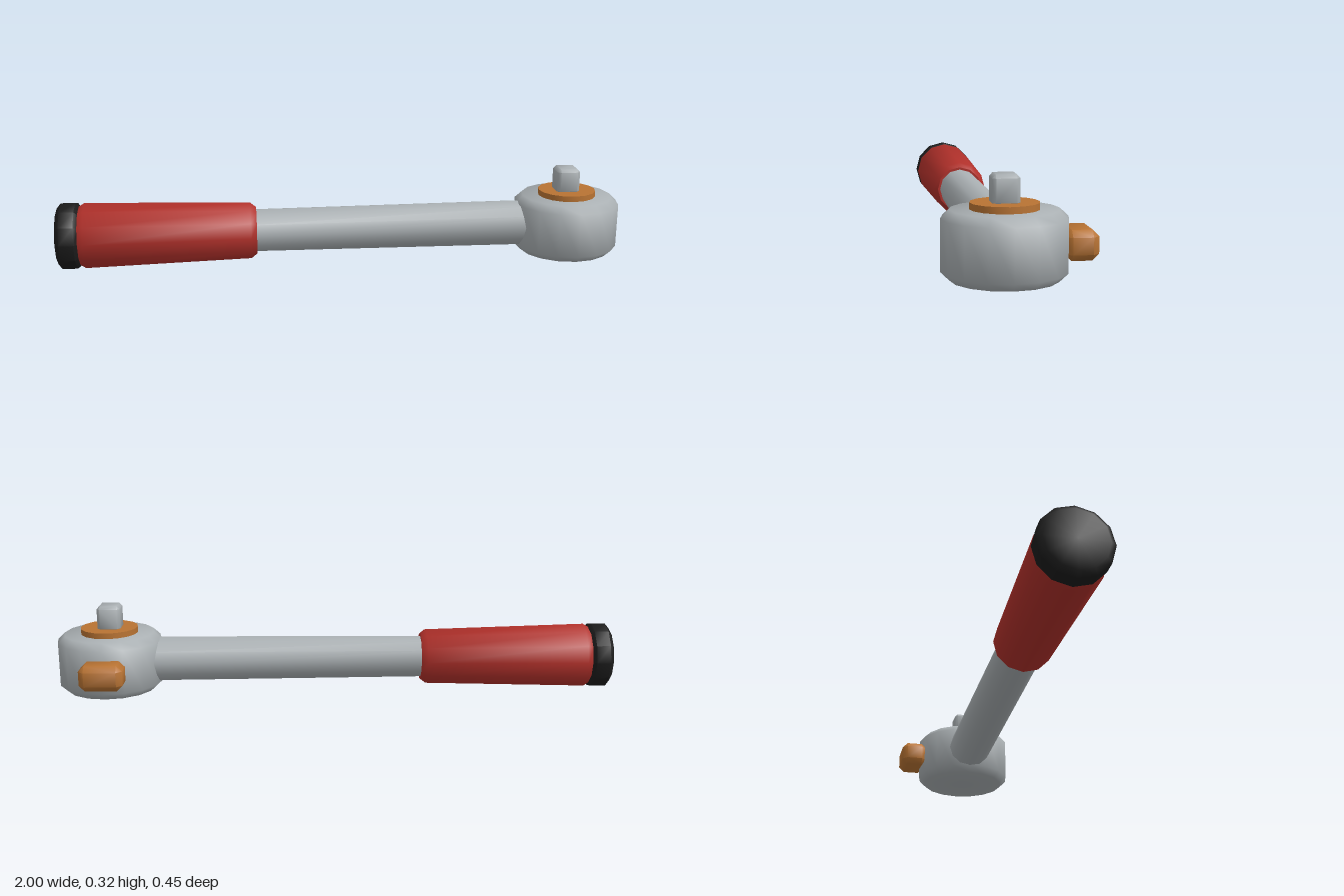
import * as THREE from 'three';
import { toCreasedNormals } from 'three/addons/utils/BufferGeometryUtils.js';
import { ConvexGeometry } from 'three/addons/geometries/ConvexGeometry.js';

const AXIS_Y = 0.12, AXIS_Z = 0.04, HEAD_X = 0.814;
const CREASE = 0.9;

function material(name, color) {
  const m = new THREE.MeshStandardMaterial({ color });
  m.name = name;
  return m;
}

// Turned solid from [radius, height] pairs, closed at both ends
function turned(profile, sides) {
  const pts = profile.map(([r, h]) => new THREE.Vector2(r, h));
  pts.unshift(new THREE.Vector2(0, pts[0].y));
  pts.push(new THREE.Vector2(0, pts[pts.length - 1].y));
  return toCreasedNormals(new THREE.LatheGeometry(pts, sides), CREASE);
}

// Box with every edge chamfered
function chamferedBox(w, h, d, c) {
  const pts = [];
  for (const x of [-1, 1]) for (const y of [-1, 1]) for (const z of [-1, 1]) {
    const X = w / 2, Y = h / 2, Z = d / 2;
    pts.push(
      new THREE.Vector3(x * X, y * (Y - c), z * (Z - c)),
      new THREE.Vector3(x * (X - c), y * Y, z * (Z - c)),
      new THREE.Vector3(x * (X - c), y * (Y - c), z * Z));
  }
  return toCreasedNormals(new ConvexGeometry(pts), CREASE);
}

export function createModel() {
  const group = new THREE.Group();
  group.name = 'ratchetWrench';
  const steel = material('steel', 0xaab0b3);
  const red = material('gripRed', 0xb0302a);
  const black = material('capBlack', 0x1c1c1c);
  const bronze = material('bronze', 0xb87333);

  const add = (name, geometry, mat, x, y, z) => {
    const mesh = new THREE.Mesh(geometry, mat);
    mesh.name = name;
    mesh.position.set(x, y, z);
    group.add(mesh);
  };
  const addAlongX = (name, profile, mat) =>
    add(name, turned(profile, 12).rotateZ(-Math.PI / 2), mat, 0, AXIS_Y, AXIS_Z);

  // Handle: end cap, tapered grip and shaft
  addAlongX('endCap', [[0.1, -1], [0.118, -0.985], [0.118, -0.935], [0.1, -0.92]], black);
  addAlongX('grip', [[0.105, -0.925], [0.117, -0.905], [0.101, -0.33], [0.085, -0.31]], red);
  addAlongX('shaft', [[0.076, -0.36], [0.082, 0.68]], steel);

  // Ratchet head, collar and square drive
  add('head', turned([[0.16, 0.016], [0.186, 0.041], [0.186, 0.195], [0.16, 0.22]], 16),
    steel, HEAD_X, 0, AXIS_Z);
  add('collar', turned([[0.102, 0.2], [0.102, 0.24]], 16), bronze, HEAD_X, 0, AXIS_Z);
  add('squareDrive', chamferedBox(0.082, 0.092, 0.082, 0.011), steel, HEAD_X - 0.004, 0.276, AXIS_Z);

  // Direction lever at the back of the head
  add('lever', chamferedBox(0.15, 0.09, 0.1, 0.02), bronze, HEAD_X - 0.004, 0.118, -0.175);
  return group;
}
